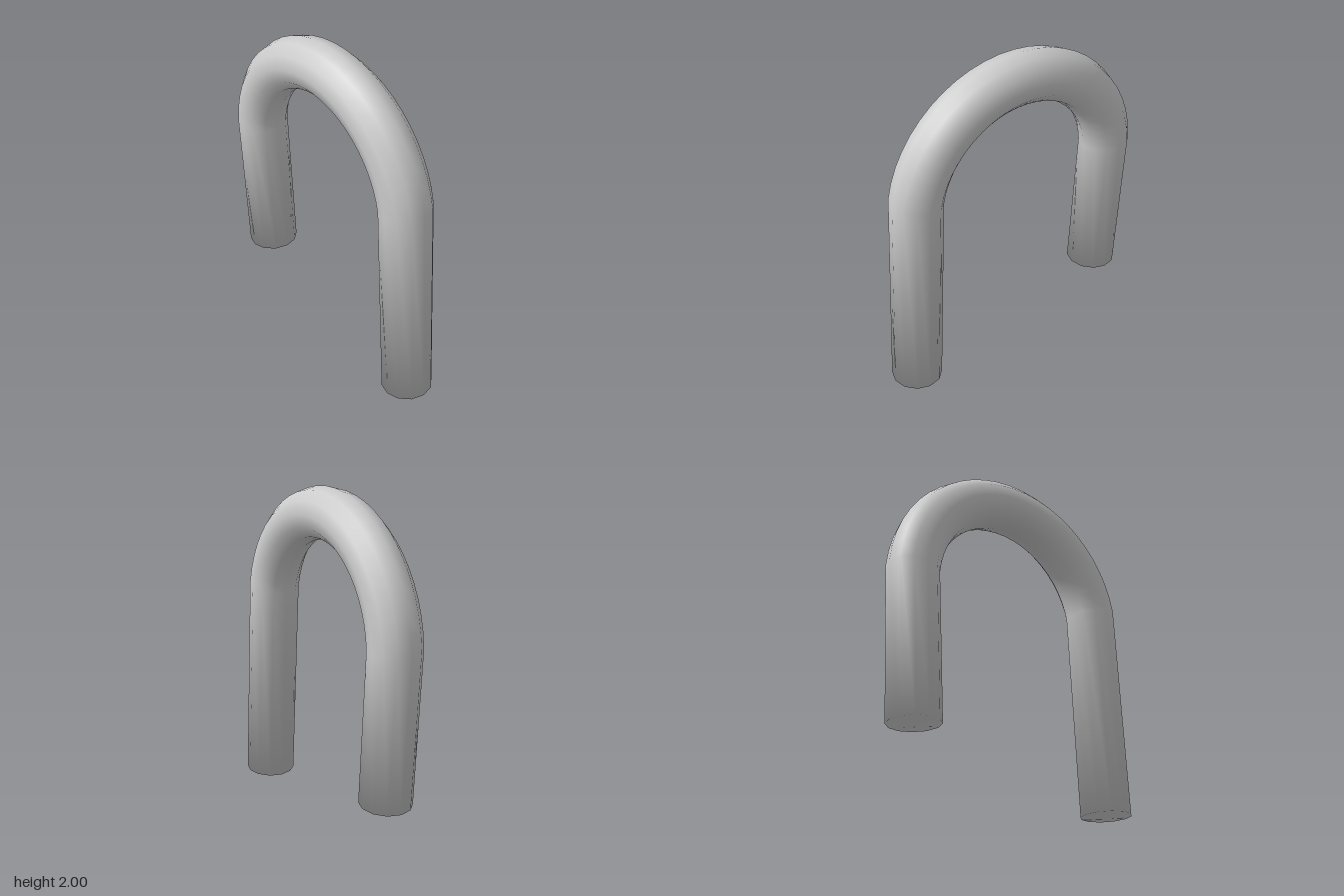
import * as THREE from 'three';

const SIDES = 12, RADIUS = 0.155, BEND_STEPS = 24;

// One ring of the rod: centre, in-plane outward direction, axial tilt of its normals (ends only)
function makeRings() {
  const rings = [];
  const cx = -0.038, cy = 1.165, bend = 0.68;
  const legSide = new THREE.Vector2(1, 0.062).normalize();
  const down = new THREE.Vector2(legSide.y, -legSide.x);
  const start = THREE.MathUtils.degToRad(176.2), end = THREE.MathUtils.degToRad(11.4);

  // short leg end, arched bend, long leg end
  rings.push({ x: -0.662, y: 0.292, out: legSide.clone().negate(), cap: down });
  for (let i = 0; i <= BEND_STEPS; i++) {
    const a = THREE.MathUtils.lerp(start, end, i / BEND_STEPS);
    const out = new THREE.Vector2(Math.cos(a), Math.sin(a));
    rings.push({ x: cx + bend * out.x, y: cy + bend * out.y, out });
  }
  rings.push({ x: 0.709, y: 0.0105, out: legSide, cap: down });
  return rings;
}

// Skin the rings into one closed, softly shaded rod
function rodGeometry(rings) {
  const positions = [], normals = [], indices = [];
  for (const { x, y, out, cap } of rings) {
    for (let j = 0; j < SIDES; j++) {
      const a = (j / SIDES) * Math.PI * 2;
      const c = Math.cos(a), s = Math.sin(a);
      positions.push(x + RADIUS * c * out.x, y + RADIUS * c * out.y, RADIUS * s);
      const n = new THREE.Vector3(c * out.x, c * out.y, s);
      if (cap) n.add(new THREE.Vector3(cap.x, cap.y, 0)).normalize();
      normals.push(n.x, n.y, n.z);
    }
  }
  // side walls
  for (let i = 0; i < rings.length - 1; i++) {
    for (let j = 0; j < SIDES; j++) {
      const k = (j + 1) % SIDES;
      const a = i * SIDES + j, b = i * SIDES + k;
      const c = a + SIDES, d = b + SIDES;
      indices.push(a, b, c, b, d, c);
    }
  }
  // flat ends
  const last = (rings.length - 1) * SIDES;
  for (let j = 1; j < SIDES - 1; j++) {
    indices.push(0, j + 1, j);
    indices.push(last, last + j, last + j + 1);
  }
  const geometry = new THREE.BufferGeometry();
  geometry.setAttribute('position', new THREE.Float32BufferAttribute(positions, 3));
  geometry.setAttribute('normal', new THREE.Float32BufferAttribute(normals, 3));
  geometry.setIndex(indices);
  return geometry;
}

export function createModel() {
  const group = new THREE.Group();
  group.name = 'hook';
  const material = new THREE.MeshStandardMaterial({ color: 0xcccccc, side: THREE.DoubleSide });
  const rod = new THREE.Mesh(rodGeometry(makeRings()), material);
  rod.name = 'bentRod';
  // very slight forward lean
  rod.rotation.x = 0.006;
  rod.position.z = -0.006;
  group.add(rod);
  return group;
}
